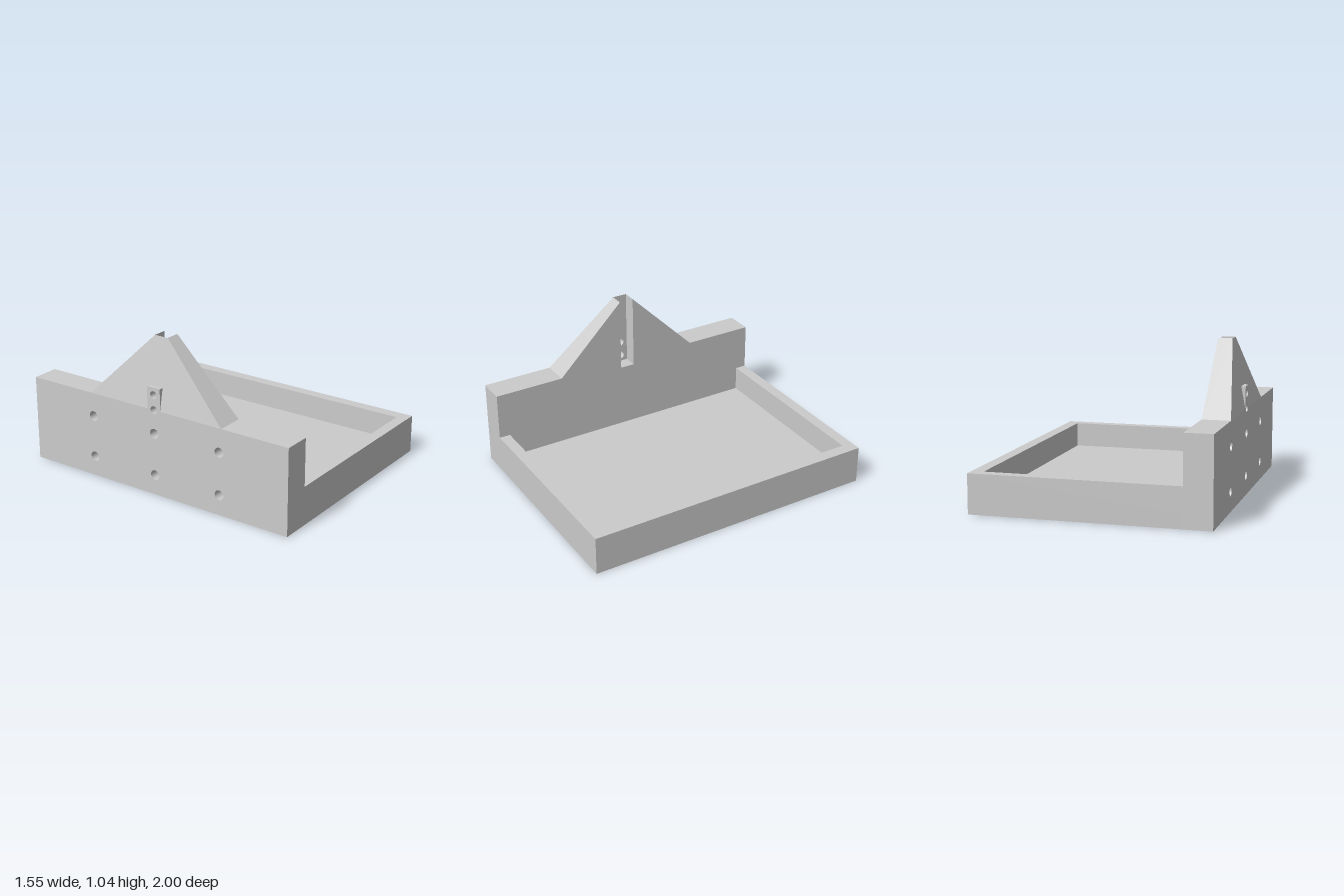
import * as THREE from 'three';

const BACK = -0.775, MID = -0.685, FRONT = -0.59, RIGHT = 0.775;
const FLOOR = 0.09, RIM = 0.26, WALL = 0.58, PEAK = 1.04;
const SLOT = 0.05, SLOT_Y = 0.535, TAB_Y = 0.73, FOOT = 0.515;

const material = new THREE.MeshStandardMaterial({ color: 0xcccccc });

const shapeOf = (points) => new THREE.Shape(points.map(([a, b]) => new THREE.Vector2(a, b)));

// Outline symmetric about z = 0, given by its right half from bottom to top
const mirrored = (half) => shapeOf([...half, ...half.slice().reverse().map(([z, y]) => [-z, y])]);

// Plate drawn in the z-y plane, thick from x0 to x1, with round holes [z, y, radius]
function plate(shape, x0, x1, holes = []) {
  for (const [z, y, r] of holes) {
    shape.holes.push(new THREE.Path().absarc(z, y, r, 0, Math.PI * 2, true));
  }
  const geometry = new THREE.ExtrudeGeometry(shape, { depth: x1 - x0, bevelEnabled: false, curveSegments: 24 });
  return geometry.rotateY(Math.PI / 2).translate(x0, 0, 0);
}

export function createModel() {
  const model = new THREE.Group();
  const add = (name, geometry) => {
    const mesh = new THREE.Mesh(geometry, material);
    mesh.name = name;
    model.add(mesh);
  };

  // Tray floor
  const floor = new THREE.BoxGeometry(RIGHT - FRONT, FLOOR, 2);
  add('trayFloor', floor.translate((RIGHT + FRONT) / 2, FLOOR / 2, 0));

  // Tray rim on three sides, closed by the upright wall on the fourth
  const rim = shapeOf([
    [FRONT, -1], [RIGHT, -1], [RIGHT, 1], [FRONT, 1],
    [FRONT, 0.925], [0.695, 0.925], [0.695, -0.925], [FRONT, -0.925],
  ]);
  const rimGeometry = new THREE.ExtrudeGeometry(rim, { depth: RIM - FLOOR, bevelEnabled: false });
  add('trayRim', rimGeometry.rotateX(-Math.PI / 2).translate(0, FLOOR, 0));

  // Inner half of the wall with its peak, split by the open slot
  const inner = mirrored([[1, 0], [1, WALL], [FOOT, WALL], [SLOT, PEAK], [SLOT, SLOT_Y]]);
  add('innerWall', plate(inner, MID, FRONT));

  // Outer half of the wall with six blind mounting holes
  const mounts = [];
  for (const z of [-0.5, 0, 0.5]) for (const y of [0.135, 0.42]) mounts.push([z, y, 0.033]);
  const outer = mirrored([[1, 0], [1, WALL], [SLOT, WALL], [SLOT, SLOT_Y]]);
  add('outerWall', plate(outer, BACK, MID, mounts));

  // Outer half of the peak, its rear face leaning in to nothing at the top
  const peak = mirrored([[SLOT, TAB_Y], [SLOT, WALL], [FOOT, WALL], [SLOT, PEAK]]);
  const peakGeometry = plate(peak, BACK, MID);
  const position = peakGeometry.attributes.position;
  for (let i = 0; i < position.count; i++) {
    if (position.getX(i) > MID - 0.01) continue;
    const rise = (position.getY(i) - WALL) / (PEAK - WALL);
    position.setX(i, BACK + rise * (MID - BACK));
  }
  peakGeometry.computeVertexNormals();
  add('outerPeak', peakGeometry);

  // Upright boss behind the slot with two through holes
  const boss = mirrored([[SLOT, SLOT_Y], [SLOT, TAB_Y]]);
  add('slotBoss', plate(boss, BACK, MID, [[0, 0.58, 0.026], [0, 0.68, 0.026]]));

  return model;
}
